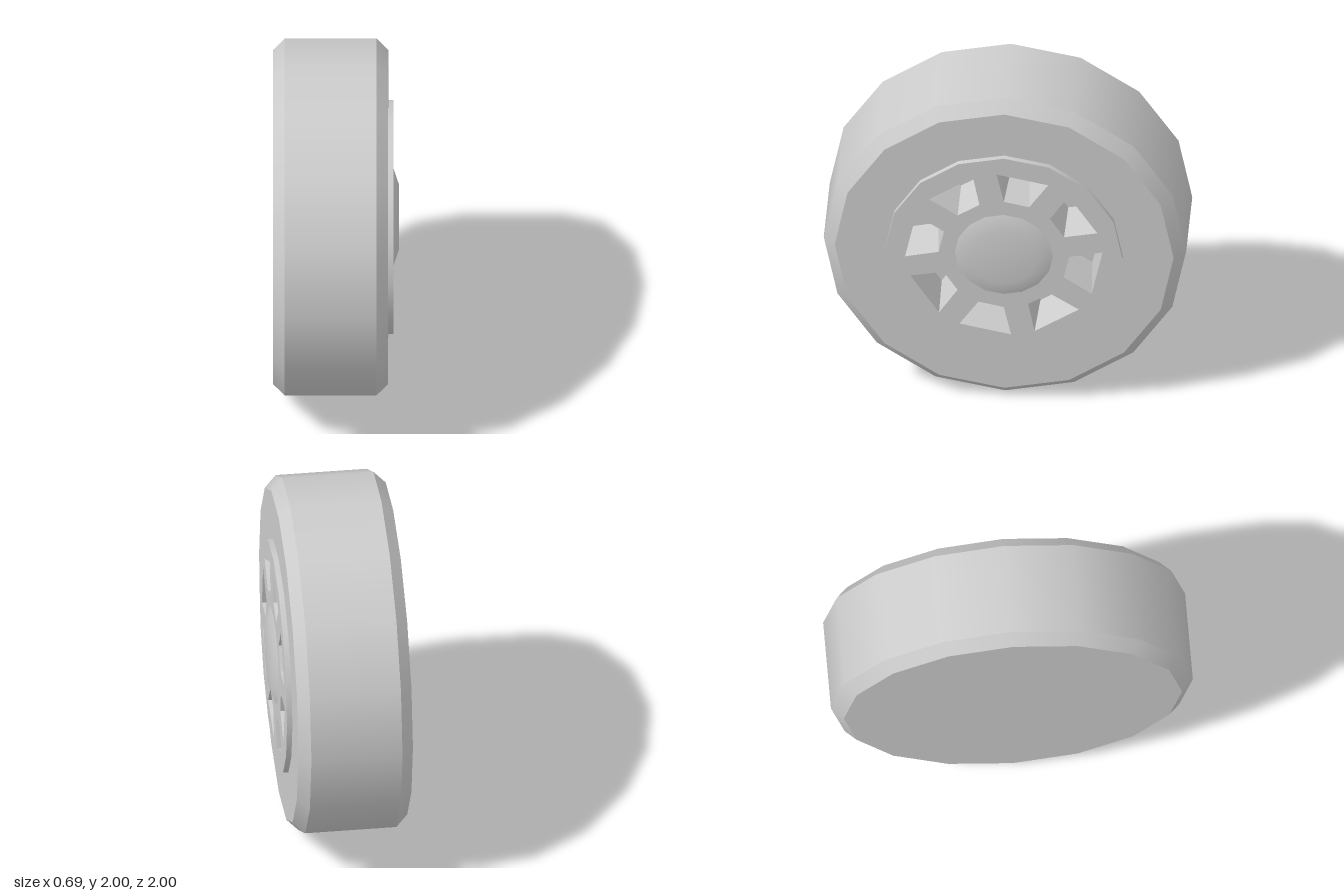
import * as THREE from 'three';

const SIDES = 16;
const FACE = 0.315; // height of the hub face along the axle
const FLOOR = 0.07; // depth of the slot floors

export function createModel() {
  const material = new THREE.MeshStandardMaterial({ color: 0xcccccc });
  const wheel = new THREE.Group();
  wheel.name = 'wheel';

  const add = (name, geometry, parent = wheel) => {
    const mesh = new THREE.Mesh(geometry, material);
    mesh.name = name;
    parent.add(mesh);
    return mesh;
  };

  // Ring turned about the local z axle from [radius, z] points
  const turned = (name, ...points) => {
    const profile = points.map(([r, z]) => new THREE.Vector2(r, z));
    add(name, new THREE.LatheGeometry(profile, SIDES).rotateX(Math.PI / 2));
  };

  // Tyre: one ring per band, so the edges between bands stay sharp
  turned('tyreBack', [0, -0.35], [0.935, -0.35]);
  turned('tyreBackBevel', [0.935, -0.35], [1, -0.285]);
  turned('tyreTread', [1, -0.285], [1, 0.22]);
  turned('tyreFrontBevel', [1, 0.22], [0.935, 0.285]);
  turned('tyreFront', [0.935, 0.285], [0.655, 0.285]);

  // Raised hub plate and its shallow smooth cap
  turned('hubRim', [0.655, 0.285], [0.655, FACE]);
  turned('hubCap', [0.27, FACE], [0.18, 0.345], [0, 0.345]);

  // Skewed slot outline, clockwise seen from the hub side
  const slot = [[-0.04, 0.545], [0.245, 0.485], [0.14, 0.33], [0, 0.36]]
    .map(([x, y]) => new THREE.Vector2(x, y));
  const centre = slot.reduce((sum, p) => sum.add(p), new THREE.Vector2()).divideScalar(4);

  // Hub face with eight slots cut out
  const outline = Array.from({ length: SIDES }, (_, i) => {
    const a = (i / SIDES) * Math.PI * 2;
    return new THREE.Vector2(0.655 * Math.cos(a), 0.655 * Math.sin(a));
  });
  const plate = new THREE.Shape(outline);
  const origin = new THREE.Vector2();
  for (let i = 0; i < 8; i++) {
    plate.holes.push(new THREE.Path(slot.map(p => p.clone().rotateAround(origin, i * Math.PI / 4))));
  }
  add('hubFace', new THREE.ShapeGeometry(plate).translate(0, 0, FACE));

  // Tapered pocket behind each slot: four walls and a smaller floor
  const top = slot.map(p => new THREE.Vector3(p.x, p.y, FACE));
  const base = slot.map(p => {
    const q = p.clone().lerp(centre, 0.22);
    return new THREE.Vector3(q.x, q.y, FLOOR);
  });
  const corners = [];
  const quad = (a, b, c, d) => corners.push(a, b, c, a, c, d);
  for (let i = 0; i < 4; i++) {
    const j = (i + 1) % 4;
    quad(top[i], base[i], base[j], top[j]);
  }
  quad(base[3], base[2], base[1], base[0]);
  const pocket = new THREE.BufferGeometry().setFromPoints(corners);
  pocket.computeVertexNormals();
  const pockets = new THREE.Group();
  pockets.name = 'slotPockets';
  wheel.add(pockets);
  for (let i = 0; i < 8; i++) {
    add('slotPocket', pocket, pockets).rotation.z = i * Math.PI / 4;
  }

  // Turn the axle to +x and stand the wheel on the ground
  wheel.rotation.y = Math.PI / 2;
  wheel.position.y = 1;
  const model = new THREE.Group();
  model.name = 'wheelModel';
  model.add(wheel);
  return model;
}
